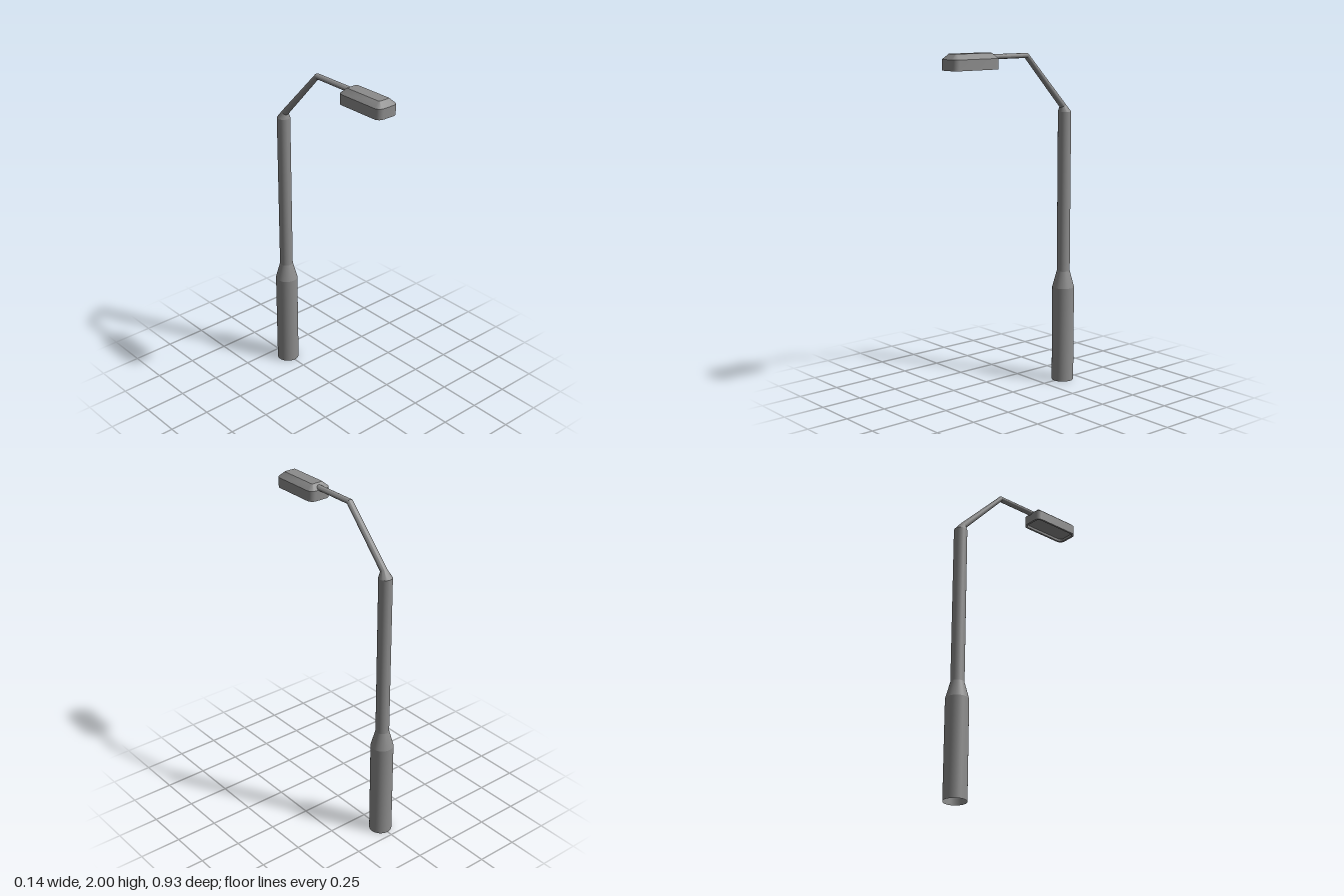
import * as THREE from 'three';
import { toCreasedNormals } from 'three/addons/utils/BufferGeometryUtils.js';

const SIDES = 32;

// Skin over a list of closed rings (arrays of Vector3, counter-clockwise seen from the end of the loft)
function loft(rings, { capEnd = false, crease = 0.3 } = {}) {
  const n = rings[0].length, pos = [], idx = [];
  rings.forEach(r => r.forEach(p => pos.push(p.x, p.y, p.z)));
  for (let k = 0; k < rings.length - 1; k++) {
    for (let i = 0; i < n; i++) {
      const j = (i + 1) % n, a = k * n + i, b = k * n + j;
      idx.push(a, b, b + n, a, b + n, a + n);
    }
  }
  if (capEnd) {
    const last = rings[rings.length - 1], c = new THREE.Vector3();
    last.forEach(p => c.addScaledVector(p, 1 / n));
    pos.push(c.x, c.y, c.z);
    const base = (rings.length - 1) * n;
    for (let i = 0; i < n; i++) idx.push(base + i, base + (i + 1) % n, rings.length * n);
  }
  const g = new THREE.BufferGeometry();
  g.setAttribute('position', new THREE.Float32BufferAttribute(pos, 3));
  g.setIndex(idx);
  return toCreasedNormals(g, crease);
}

// Elliptical ring whose axis leans from +y towards +z by tilt
function ring(y, z, rx, rz, tilt = 0) {
  return Array.from({ length: SIDES }, (_, i) => {
    const a = (i / SIDES) * Math.PI * 2, v = -Math.cos(a) * rz;
    return new THREE.Vector3(-Math.sin(a) * rx, y - v * Math.sin(tilt), z + v * Math.cos(tilt));
  });
}

// Horizontal rounded rectangle ring for the lamp head
function roundRect(y, hw, hd, r, z = 0.305) {
  const pts = [];
  [[1, 1], [1, -1], [-1, -1], [-1, 1]].forEach(([sx, sz], q) => {
    for (let i = 0; i <= 6; i++) {
      const a = Math.PI / 2 - (q + i / 6) * Math.PI / 2;
      pts.push(new THREE.Vector3(
        sx * (hw - r) + Math.cos(a) * r, y, z + sz * (hd - r) + Math.sin(a) * r));
    }
  });
  return pts;
}

export function createModel() {
  const group = new THREE.Group();
  const metal = new THREE.MeshStandardMaterial({ color: 0x8c8c8c, side: THREE.DoubleSide });
  metal.name = 'grey metal';
  const add = (name, geometry) => {
    const mesh = new THREE.Mesh(geometry, metal);
    mesh.name = name;
    group.add(mesh);
  };

  // Pole: thick open foot, tapered collar, slim shaft
  const foot = ring(0, -0.4, 0.066, 0.066);
  const footTop = ring(0.58, -0.4, 0.066, 0.066);
  const shaft = ring(0.68, -0.4, 0.039, 0.039);
  const shaftTop = ring(1.64, -0.4, 0.039, 0.039);
  add('pole', loft([foot, footTop, shaft, shaftTop], { crease: 0.22 }));

  // Neck narrowing into the bent arm
  const neck = ring(1.676, -0.384, 0.02, 0.02, Math.PI / 6);
  const bend = ring(1.976, -0.1, 0.02, 0.0155, Math.PI * 0.375);
  const tip = ring(1.976, 0.2, 0.02, 0.0145, Math.PI / 2);
  add('neck', loft([shaftTop, neck], { crease: 0.5 }));
  add('arm', loft([neck, bend, tip], { capEnd: true, crease: 0.5 }));

  // Lamp head: straight walls with a chamfered lid
  add('lampHousing', loft([
    roundRect(1.91, 0.07, 0.16, 0.035),
    roundRect(1.97, 0.07, 0.16, 0.035),
    roundRect(2.0, 0.036, 0.126, 0.008),
  ], { capEnd: true, crease: 0.45 }));

  // Underside: narrow rim and recessed panel
  add('lampRecess', loft([
    roundRect(1.91, 0.07, 0.16, 0.035),
    roundRect(1.91, 0.058, 0.148, 0.025),
    roundRect(1.925, 0.056, 0.146, 0.023),
  ].map(r => r.reverse()), { capEnd: true, crease: 0.45 }));

  return group;
}
